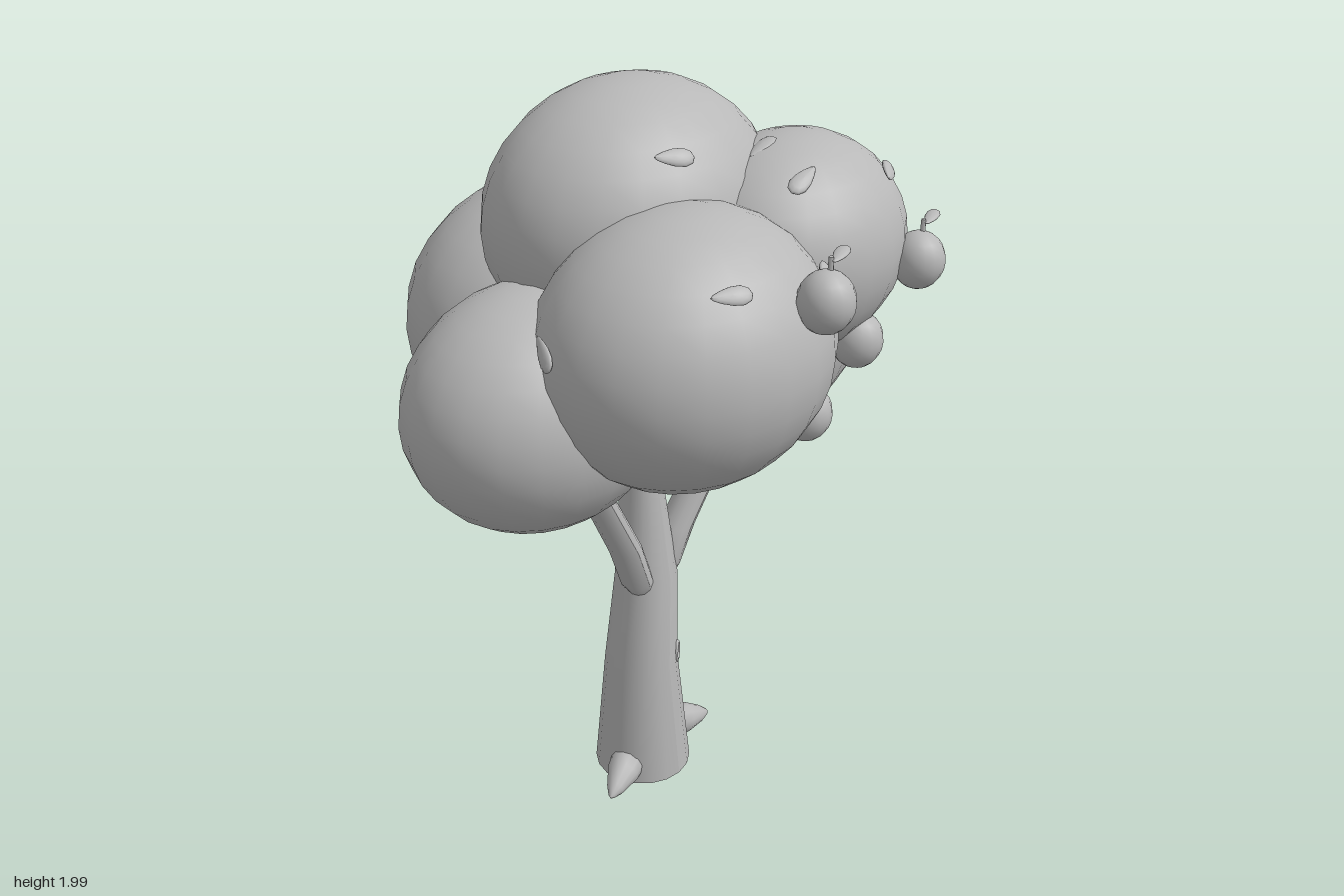
import * as THREE from 'three';

const clay = new THREE.MeshStandardMaterial({ color: 0xb8b8b8 });
clay.name = 'matte grey';

const V = (a) => new THREE.Vector3(a[0], a[1], a[2]);

function part(name, geometry, parent) {
  const mesh = new THREE.Mesh(geometry, clay);
  mesh.name = name;
  parent.add(mesh);
  return mesh;
}

// Tapered limb through level rings given as [x, y, z, radius], bottom to top
function limb(name, rings, sides, parent) {
  const n = rings.length - 1;
  const g = new THREE.CylinderGeometry(1, 1, 1, sides, n);
  const p = g.attributes.position;
  for (let i = 0; i < p.count; i++) {
    const [x, y, z, r] = rings[Math.round((p.getY(i) + 0.5) * n)];
    p.setXYZ(i, x + p.getX(i) * r, y, z + p.getZ(i) * r);
  }
  g.computeVertexNormals();
  return part(name, g, parent);
}

// Pointed root from the trunk out to a tip
function root(name, from, to, parent) {
  const a = V(from), d = V(to).sub(a), len = d.length();
  const profile = [[0, -0.02], [0.05, 0], [0.045, len * 0.35], [0.025, len * 0.75], [0.01, len * 0.93], [0, len]];
  const m = part(name, new THREE.LatheGeometry(profile.map(([x, y]) => new THREE.Vector2(x, y)), 12), parent);
  m.position.copy(a);
  m.quaternion.setFromUnitVectors(new THREE.Vector3(0, 1, 0), d.normalize());
}

// Leaf: flattened sphere, narrowed toward one end
const leafGeometry = new THREE.SphereGeometry(1, 12, 8);
{
  const p = leafGeometry.attributes.position;
  for (let i = 0; i < p.count; i++) {
    const x = p.getX(i), w = 0.8 + 0.35 * x;
    p.setXYZ(i, x * 0.05, p.getY(i) * 0.011 * w, p.getZ(i) * 0.027 * w);
  }
  leafGeometry.computeVertexNormals();
}

function leaf(at, normal, along, parent, size = 1) {
  const m = part('leaf', leafGeometry, parent);
  const z = along.clone().cross(normal).normalize();
  const x = normal.clone().cross(z).normalize();
  m.quaternion.setFromRotationMatrix(new THREE.Matrix4().makeBasis(x, normal, z));
  m.position.copy(at);
  m.scale.setScalar(size);
}

export function createModel() {
  const tree = new THREE.Group();
  tree.name = 'fruitTree';

  // Trunk and branches
  limb('trunk', [
    [-0.012, 0.012, -0.01, 0.135], [-0.03, 0.38, 0, 0.101], [0.004, 0.64, -0.01, 0.085],
    [0, 0.95, -0.025, 0.055], [-0.015, 1.2, -0.03, 0.048], [-0.02, 1.4, -0.03, 0.04],
  ], 18, tree);
  limb('rightBranch', [
    [0.04, 0.6, 0.01, 0.025], [0.055, 0.65, 0.01, 0.045], [0.1, 0.76, 0.02, 0.048],
    [0.25, 0.98, 0.045, 0.043], [0.36, 1.15, 0.07, 0.038],
  ], 12, tree);
  limb('leftBranch', [
    [-0.04, 0.6, 0.01, 0.03], [-0.065, 0.65, 0.015, 0.045], [-0.13, 0.79, 0.03, 0.045],
    [-0.27, 1.03, 0.05, 0.041], [-0.34, 1.16, 0.06, 0.036],
  ], 12, tree);

  // Roots and bark knot
  root('rightRoot', [0.1, 0.072, 0.005], [0.24, 0.035, 0.035], tree);
  root('leftRoot', [-0.11, 0.07, 0.02], [-0.245, 0.038, 0.065], tree);
  const knot = part('barkKnot', new THREE.TorusGeometry(0.026, 0.007, 8, 16), tree);
  knot.position.set(0.025, 0.4, 0.082);
  knot.rotation.y = 0.5;
  knot.scale.set(0.6, 1.1, 1);

  // Foliage clumps: centre and radii
  const clumps = {
    top: [[0, 1.663, -0.053], [0.4, 0.337, 0.337]],
    frontLeft: [[-0.2, 1.473, 0.272], [0.383, 0.333, 0.34]],
    frontRight: [[0.25, 1.585, 0.242], [0.333, 0.278, 0.276]],
    right: [[0.35, 1.302, 0], [0.392, 0.338, 0.34]],
    left: [[-0.39, 1.305, -0.02], [0.352, 0.3, 0.3]],
    back: [[0, 1.348, -0.3], [0.425, 0.357, 0.368]],
  };
  for (const [name, [c, r]] of Object.entries(clumps)) {
    const m = part(name + 'Foliage', new THREE.SphereGeometry(1, 22, 16), tree);
    m.position.copy(V(c));
    m.scale.copy(V(r));
  }

  // Loose leaves lying on the clumps: clump, position, direction
  const leaves = [
    ['top', [-0.14, 1.89, 0.19], [1, -0.45, 0.1]],
    ['frontRight', [0.11, 1.81, 0.37], [-1, -0.2, 0.1]],
    ['frontRight', [0.155, 1.845, 0.22], [1, 0.2, 0]],
    ['frontRight', [0.405, 1.762, 0.42], [1, 0.5, 0]],
    ['frontLeft', [-0.335, 1.705, 0.5], [1, -0.5, 0]],
    ['frontLeft', [-0.03, 1.66, 0.535], [1, 0.6, 0]],
    ['frontLeft', [-0.555, 1.55, 0.16], [-0.4, -0.4, 0.6]],
  ];
  for (const [clump, at, along] of leaves) {
    const [c, r] = clumps[clump];
    const normal = V(at).sub(V(c)).divide(V(r)).divide(V(r)).normalize();
    leaf(V(at), normal, V(along), tree);
  }

  // Fruit with stem and leaf
  const fruits = [[-0.127, 1.65, 0.602], [0.422, 1.552, 0.512], [0.28, 1.367, 0.438], [0.118, 1.217, 0.405]];
  fruits.forEach((at) => {
    const fruit = new THREE.Group();
    fruit.name = 'fruit';
    fruit.position.copy(V(at));
    part('fruitBody', new THREE.SphereGeometry(0.067, 16, 12), fruit).scale.y = 1.1;
    part('stem', new THREE.CylinderGeometry(0.006, 0.007, 0.04, 8), fruit).position.set(0.01, 0.082, 0);
    leaf(new THREE.Vector3(0.04, 0.099, 0.003), new THREE.Vector3(-0.15, 0.98, 0.1).normalize(),
      new THREE.Vector3(1, 0.15, -0.2), fruit, 0.75);
    tree.add(fruit);
  });

  return tree;
}
